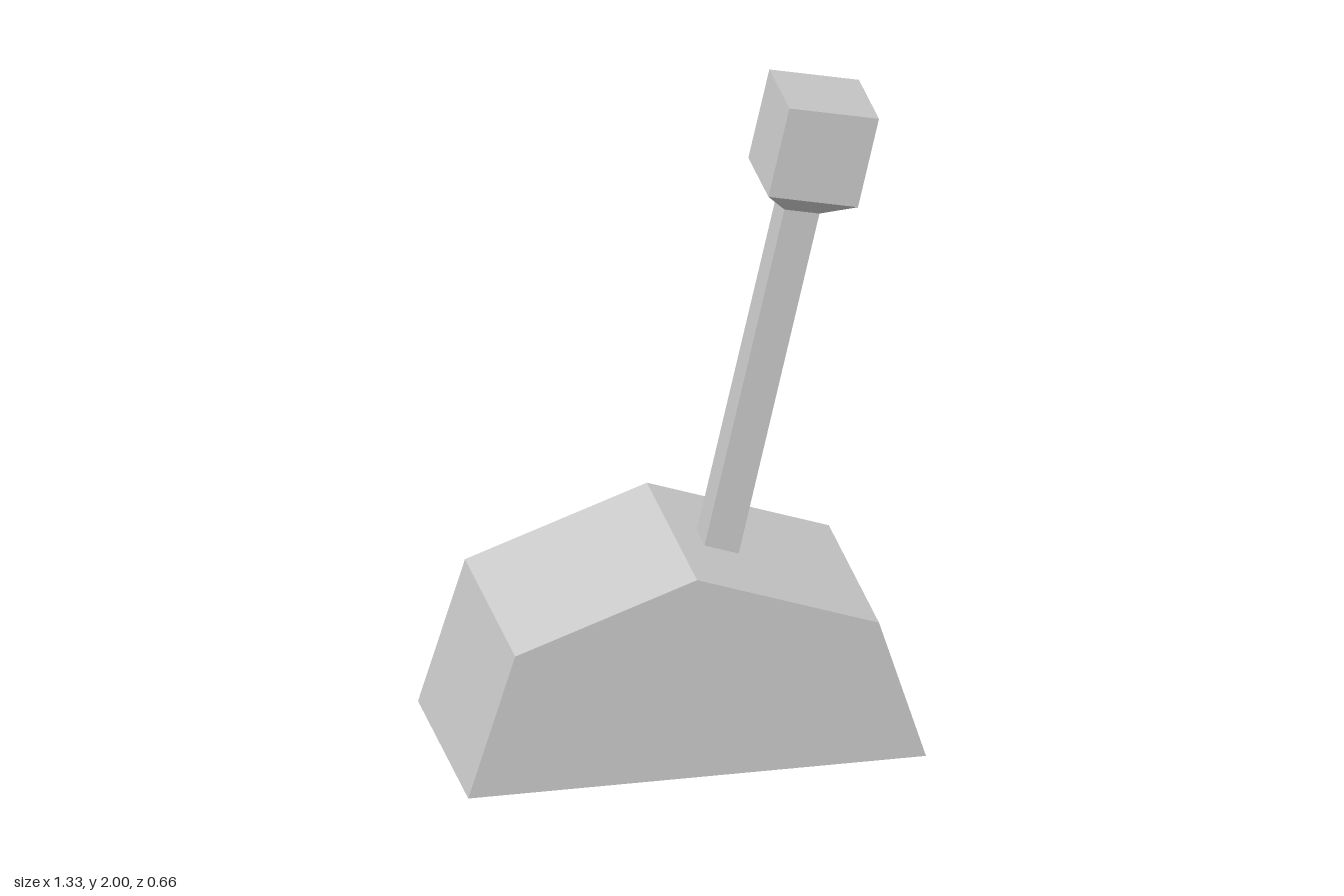
import * as THREE from 'three';

const grey = new THREE.MeshStandardMaterial({ color: 0xcccccc, side: THREE.DoubleSide, flatShading: true });
grey.name = 'plain grey';

// Mesh made of separate flat quads, corners counter-clockwise from outside
function quadMesh(name, quads) {
  const points = quads.flatMap(([a, b, c, d]) => [a, b, c, a, c, d]);
  const geometry = new THREE.BufferGeometry().setFromPoints(points);
  geometry.computeVertexNormals();
  const mesh = new THREE.Mesh(geometry, grey);
  mesh.name = name;
  return mesh;
}

// Square ring at height y, counter-clockwise from above
function ring(half, y) {
  return [[1, 1], [1, -1], [-1, -1], [-1, 1]].map(([x, z]) => new THREE.Vector3(x * half, y, z * half));
}

// Side walls between two rings
function walls(lower, upper) {
  return lower.map((p, i) => {
    const j = (i + 1) % lower.length;
    return [p, lower[j], upper[j], upper[i]];
  });
}

export function createModel() {
  const model = new THREE.Group();
  model.name = 'lever';

  // Hollow base: house-shaped section, open underneath
  const base = new THREE.Group();
  base.name = 'base';
  const depth = 0.332;
  const profile = [[-0.663, 0.032], [-0.527, 0.462], [0, 0.648], [0.527, 0.462], [0.663, 0.032]];
  const at = ([x, y], z) => new THREE.Vector3(x, y, z);
  const panels = profile.slice(1).map((q, i) => {
    const p = profile[i];
    return [at(p, depth), at(q, depth), at(q, -depth), at(p, -depth)];
  });
  base.add(quadMesh('baseShell', panels));

  const endShape = new THREE.Shape(profile.map(([x, y]) => new THREE.Vector2(x, y)));
  for (const side of [1, -1]) {
    const end = new THREE.Mesh(new THREE.ShapeGeometry(endShape), grey);
    end.name = side > 0 ? 'baseFront' : 'baseBack';
    end.position.z = side * depth;
    if (side < 0) end.rotation.y = Math.PI;
    base.add(end);
  }
  model.add(base);

  // Tilted lever: open square shaft flaring into a block knob
  const stick = new THREE.Group();
  stick.name = 'stick';
  const foot = ring(0.052, 0);
  const neck = ring(0.052, 1.663);
  const knobBottom = ring(0.133, 1.73);
  const knobTop = ring(0.133, 2.007);
  stick.add(quadMesh('shaft', walls(foot, neck)));
  stick.add(quadMesh('knob', [...walls(neck, knobBottom), ...walls(knobBottom, knobTop), knobTop]));
  stick.position.set(0, 0.012, -0.002);
  stick.rotation.z = -THREE.MathUtils.degToRad(12.7);
  model.add(stick);

  return model;
}
